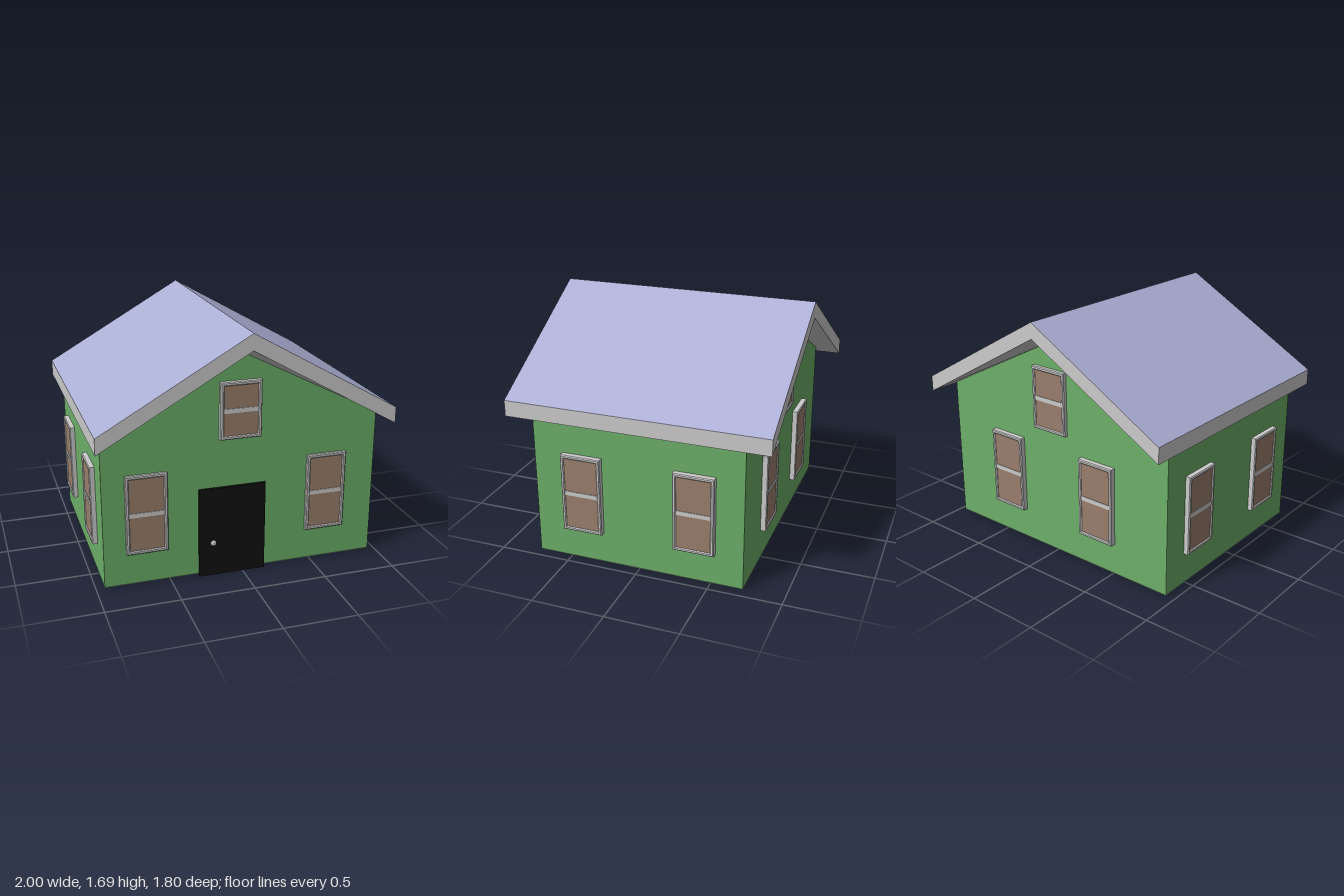
import * as THREE from 'three';

const mat = (color) => new THREE.MeshStandardMaterial({ color, side: THREE.DoubleSide, flatShading: true });
const grey = mat(0xcccccc);
const green = mat(0x6caf69);
const slate = mat(0xabaed4);
const glassTone = mat(0x9a7f6c);
const black = mat(0x111111);

const FRONT = 0.73, BACK = -0.725, OVERHANG = 0.9;
const outer = [[-1, 1.12], [0, 1.69], [1, 1.12]]; // roof top line
const inner = [[-1, 1.01], [0, 1.58], [1, 1.01]]; // roof lower edge
const wallTop = [[-0.945, 1.06], [0, 1.525], [0.945, 1.04]];

function addMesh(parent, name, geometry, material, x = 0, y = 0, z = 0) {
  const mesh = new THREE.Mesh(geometry, material);
  mesh.name = name;
  mesh.position.set(x, y, z);
  parent.add(mesh);
  return mesh;
}

// Gable line placed at a depth
const at = (line, z) => line.map(([x, y]) => [x, y, z]);

// Flat quads between two lines of equal length
function strip(a, b) {
  const pos = [];
  for (let i = 0; i < a.length - 1; i++) {
    pos.push(...a[i], ...b[i], ...b[i + 1], ...a[i], ...b[i + 1], ...a[i + 1]);
  }
  const g = new THREE.BufferGeometry();
  g.setAttribute('position', new THREE.Float32BufferAttribute(pos, 3));
  g.computeVertexNormals();
  return g;
}

function rect(path, w, h) {
  path.moveTo(-w / 2, -h / 2);
  path.lineTo(w / 2, -h / 2);
  path.lineTo(w / 2, h / 2);
  path.lineTo(-w / 2, h / 2);
  path.closePath();
  return path;
}

// Sash window facing +z, its back on z = 0
function makeWindow(name, w, h, depth) {
  const group = new THREE.Group();
  group.name = name;
  const bevel = 0.006;
  const shape = rect(new THREE.Shape(), w - 2 * bevel, h - 2 * bevel);
  shape.holes.push(rect(new THREE.Path(), w - 0.036, h - 0.036));
  const frame = new THREE.ExtrudeGeometry(shape, {
    depth: depth - bevel, bevelThickness: bevel, bevelSize: bevel, bevelSegments: 1,
  });
  addMesh(group, 'windowFrame', frame, grey);
  addMesh(group, 'windowGlass', new THREE.BoxGeometry(w - 0.02, h - 0.02, depth - 0.008), glassTone, 0, 0, depth / 2 - 0.004);
  addMesh(group, 'windowBar', new THREE.BoxGeometry(w - 0.02, 0.03, depth - 0.004), grey, 0, 0, depth / 2 - 0.002);
  return group;
}

export function createModel() {
  const house = new THREE.Group();
  house.name = 'house';

  // Walls with pointed gables
  const wallShape = new THREE.Shape();
  wallShape.moveTo(-0.945, 0.017);
  wallShape.lineTo(0.945, 0.017);
  [...wallTop].reverse().forEach(([x, y]) => wallShape.lineTo(x, y));
  wallShape.closePath();
  const walls = new THREE.ExtrudeGeometry(wallShape, { depth: FRONT - BACK, bevelEnabled: false });
  addMesh(house, 'walls', walls, green, 0, 0, BACK);

  // Underside of the house
  const floor = new THREE.PlaneGeometry(1.89, FRONT - BACK);
  floor.rotateX(Math.PI / 2);
  addMesh(house, 'floor', floor, grey, 0, 0.014, (FRONT + BACK) / 2);

  // Roof slopes, fascia boards and soffits
  const roof = new THREE.Group();
  roof.name = 'roof';
  house.add(roof);
  const of = at(outer, OVERHANG), ob = at(outer, -OVERHANG);
  const inf = at(inner, OVERHANG), inb = at(inner, -OVERHANG);
  const wf = at(wallTop, FRONT), wb = at(wallTop, BACK);
  addMesh(roof, 'roofSlopes', strip(ob, of), slate);
  addMesh(roof, 'frontFascia', strip(of, inf), grey);
  addMesh(roof, 'backFascia', strip(inb, ob), grey);
  addMesh(roof, 'leftFascia', strip([of[2], ob[2]], [inf[2], inb[2]]), grey);
  addMesh(roof, 'rightFascia', strip([ob[0], of[0]], [inb[0], inf[0]]), grey);
  addMesh(roof, 'frontSoffit', strip(inf, wf), grey);
  addMesh(roof, 'backSoffit', strip(wb, inb), grey);
  addMesh(roof, 'leftSoffit', strip([inf[2], inb[2]], [wf[2], wb[2]]), grey);
  addMesh(roof, 'rightSoffit', strip([inb[0], inf[0]], [wb[0], wf[0]]), grey);

  // Windows: name, x, y, z, width, height, depth, turn
  const LOW = 0.51, TALL = 0.55;
  const windows = [
    ['frontRightWindow', -0.655, LOW, FRONT, 0.28, TALL, 0.023, 0],
    ['frontLeftWindow', 0.59, LOW, FRONT, 0.28, TALL, 0.023, 0],
    ['frontAtticWindow', -0.025, 1.157, FRONT, 0.28, 0.385, 0.035, 0],
    ['backLeftWindow', 0.415, LOW, BACK, 0.28, TALL, 0.04, Math.PI],
    ['backRightWindow', -0.385, LOW, BACK, 0.28, TALL, 0.04, Math.PI],
    ['backAtticWindow', 0.015, 1.12, BACK, 0.28, 0.44, 0.03, Math.PI],
  ];
  for (const z of [0.385, -0.397]) {
    const end = z > 0 ? 'Front' : 'Back';
    windows.push([`leftSide${end}Window`, 0.945, LOW, z, 0.28, TALL, 0.042, Math.PI / 2]);
    windows.push([`rightSide${end}Window`, -0.945, LOW, z, 0.28, TALL, 0.037, -Math.PI / 2]);
  }
  for (const [name, x, y, z, w, h, depth, turn] of windows) {
    const win = makeWindow(name, w, h, depth);
    win.position.set(x, y, z);
    win.rotation.y = turn;
    house.add(win);
  }

  // Front door and knob
  addMesh(house, 'door', new THREE.BoxGeometry(0.46, 0.63, 0.03), black, -0.075, 0.315, 0.733);
  const profile = [[0, 0], [0.01, 0], [0.01, 0.01], [0.021, 0.014], [0.021, 0.02], [0.012, 0.026], [0, 0.027]];
  const knob = new THREE.LatheGeometry(profile.map(([r, y]) => new THREE.Vector2(r, y)), 12);
  knob.rotateX(Math.PI / 2);
  addMesh(house, 'doorKnob', knob, grey, -0.212, 0.245, 0.747);

  return house;
}
